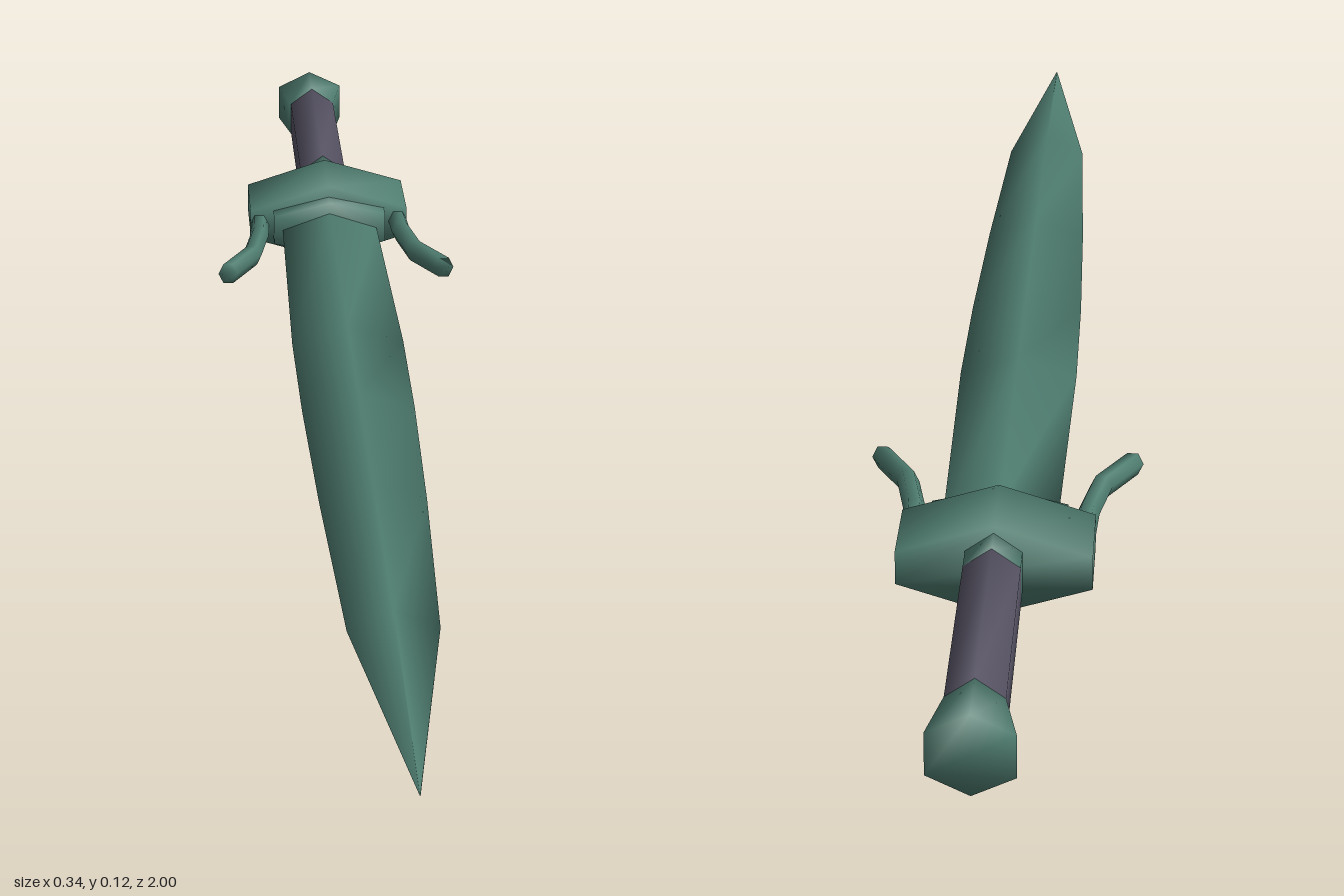
import * as THREE from 'three';

const CY = 0.06; // height of the sword's axis

// Cross-sections, counter-clockwise seen from the tip
const diamond = (w, h) => [[w, 0], [0, h], [-w, 0], [0, -h]];
const tallHex = (w, side, h) => [[w, -side], [w, side], [0, h], [-w, side], [-w, -side], [0, -h]];
const flatHex = (w, h) => [[w, 0], [w / 2, h], [-w / 2, h], [-w, 0], [-w / 2, -h], [w / 2, -h]];

// Skins sections { z, ring, x } that run towards +z, and closes both ends
function loft(sections) {
  const pos = [], idx = [], n = sections[0].ring.length, last = (sections.length - 1) * n;
  for (const { z, ring, x = 0 } of sections)
    for (const [px, py] of ring) pos.push(px + x, py + CY, z);
  for (let i = 0; i < last; i += n)
    for (let j = 0; j < n; j++) {
      const a = i + j, b = i + (j + 1) % n;
      idx.push(a, b, b + n, a, b + n, a + n);
    }
  for (let j = 1; j < n - 1; j++) {
    idx.push(0, j + 1, j);
    idx.push(last, last + j, last + j + 1);
  }
  const g = new THREE.BufferGeometry();
  g.setAttribute('position', new THREE.Float32BufferAttribute(pos, 3));
  g.setIndex(idx);
  g.computeVertexNormals();
  return g;
}

export function createModel() {
  const green = new THREE.MeshStandardMaterial({ color: 0x4f7d70 });
  green.name = 'green metal';
  const grey = new THREE.MeshStandardMaterial({ color: 0x565263 });
  grey.name = 'grey wrap';

  const group = new THREE.Group();
  const add = (name, material, sections) => {
    const mesh = new THREE.Mesh(loft(sections), material);
    mesh.name = name;
    group.add(mesh);
  };

  // Blade: diamond section, swelling slightly and then drawn to a point
  add('blade', green, [
    [-0.5, 0.07, 0.025], [-0.1, 0.077, 0.025], [0.1, 0.075, 0.025],
    [0.35, 0.068, 0.025], [0.66, 0.055, 0.025], [1, 0.0005, 0.0005],
  ].map(([z, w, h]) => ({ z, ring: diamond(w, h) })));

  // Guard and the stepped collar in front of it
  const guardRing = tallHex(0.117, 0.022, 0.0595);
  add('guard', green, [{ z: -0.612, ring: guardRing }, { z: -0.51, ring: guardRing }]);
  const collarRing = tallHex(0.083, 0.022, 0.042);
  add('collar', green, [{ z: -0.53, ring: collarRing }, { z: -0.487, ring: collarRing }]);

  // Handle: ferrule, wrapped grip and flared pommel
  const gripRing = tallHex(0.034, 0.026, 0.051);
  add('ferrule', green, [{ z: -0.648, ring: gripRing }, { z: -0.6, ring: gripRing }]);
  add('grip', grey, [{ z: -0.927, ring: gripRing }, { z: -0.648, ring: gripRing }]);
  add('pommel', green, [
    { z: -1, ring: tallHex(0.05, 0.027, 0.052) },
    { z: -0.927, ring: gripRing },
  ]);

  // Two curved prongs sweeping forward and outward
  const path = [[0.103, -0.53], [0.106, -0.47], [0.12, -0.4], [0.157, -0.339]];
  for (const s of [1, -1])
    add(s > 0 ? 'leftProng' : 'rightProng', green,
      path.map(([x, z]) => ({ z, x: s * x, ring: flatHex(0.014, 0.015) })));

  return group;
}
